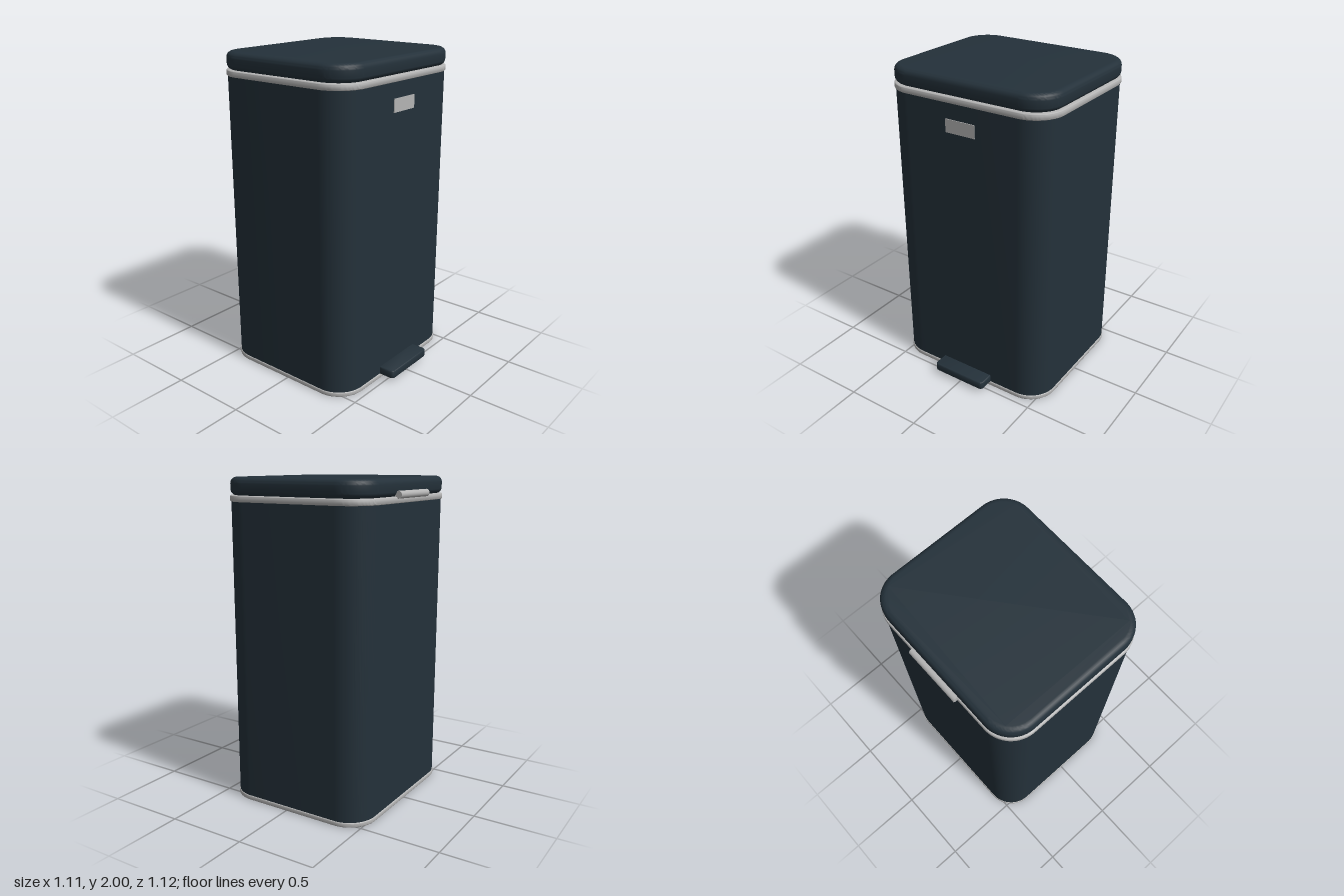
import * as THREE from 'three';
import { toCreasedNormals } from 'three/addons/utils/BufferGeometryUtils.js';

// Rounded rectangle centred on the origin
function roundedRect(w, d, r) {
  const s = new THREE.Shape(), x = w / 2, y = d / 2, q = Math.PI / 2;
  s.moveTo(x, -y + r);
  s.absarc(x - r, y - r, r, 0, q);
  s.absarc(-x + r, y - r, r, q, 2 * q);
  s.absarc(-x + r, -y + r, r, 2 * q, 3 * q);
  s.absarc(x - r, -y + r, r, 3 * q, 4 * q);
  return s;
}

// Upright slab from y0 to y1 with rounded corners r and softened edges b
function slab(w, d, r, y0, y1, b, segments) {
  const geo = new THREE.ExtrudeGeometry(roundedRect(w - 2 * b, d - 2 * b, r - b), {
    depth: y1 - y0 - 2 * b, curveSegments: 14,
    bevelEnabled: b > 0, bevelSize: b, bevelThickness: b, bevelSegments: segments,
  });
  geo.rotateX(-Math.PI / 2).translate(0, y0 + b, 0);
  return toCreasedNormals(geo, 0.6);
}

export function createModel() {
  const model = new THREE.Group();
  const dark = new THREE.MeshStandardMaterial({ color: 0x24313a });
  dark.name = 'darkPaint';
  const metal = new THREE.MeshStandardMaterial({ color: 0xb4b4b4 });
  metal.name = 'brushedMetal';

  function add(name, geo, mat, x, y = 0, z = 0) {
    const mesh = new THREE.Mesh(geo, mat);
    mesh.name = name;
    mesh.position.set(x, y, z);
    model.add(mesh);
    return mesh;
  }

  const cx = -0.035; // the bin sits off centre to leave room for the pedal

  // Bin
  add('base', slab(0.986, 1.116, 0.18, 0, 0.03, 0.006, 3), metal, cx);
  add('body', slab(0.976, 1.108, 0.176, 0.028, 1.87, 0, 1), dark, cx);
  add('rim', slab(0.99, 1.124, 0.182, 1.858, 1.896, 0.01, 4), metal, cx);
  add('lid', slab(0.982, 1.114, 0.178, 1.894, 2, 0.036, 7), dark, cx);

  // Hinge barrel on the right-hand side
  const hinge = add('hinge', new THREE.CylinderGeometry(0.022, 0.022, 0.356, 24), metal, -0.535, 1.907);
  hinge.rotation.x = Math.PI / 2;

  // Badge plate
  add('badgePlate', new THREE.BoxGeometry(0.008, 0.08, 0.2), metal, 0.454, 1.725);

  // Foot pedal and its lever
  add('pedal', slab(0.13, 0.374, 0.025, 0.026, 0.078, 0.008, 4), dark, 0.49);
  add('pedalLever', new THREE.BoxGeometry(0.12, 0.016, 0.11), metal, 0.46, 0.021);

  return model;
}
